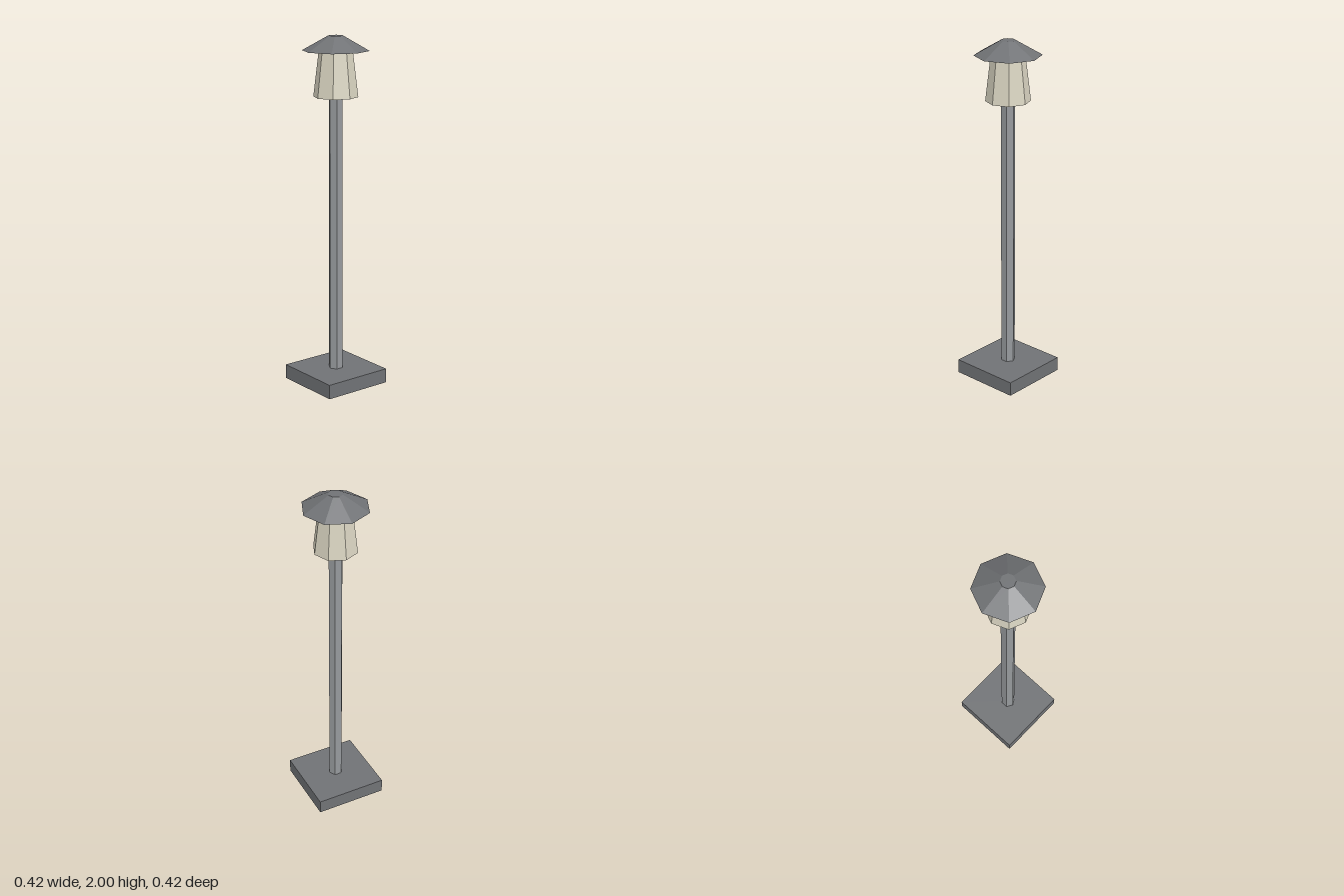
import * as THREE from 'three';

export function createModel() {
  const group = new THREE.Group();
  group.name = 'gardenLamp';

  const material = (name, color) => {
    const m = new THREE.MeshStandardMaterial({ color, flatShading: true });
    m.name = name;
    return m;
  };
  const darkMetal = material('darkMetal', 0x707275);
  const poleMetal = material('poleMetal', 0x96999c);
  const lampGlass = material('lampGlass', 0xd9d4c1);

  // Adds a part standing between two heights
  const add = (name, geometry, mat, y0, y1) => {
    const mesh = new THREE.Mesh(geometry, mat);
    mesh.name = name;
    mesh.position.y = (y0 + y1) / 2;
    group.add(mesh);
  };
  // Tapered prism with one corner on the +x axis
  const prism = (name, mat, top, bottom, y0, y1, sides) =>
    add(name, new THREE.CylinderGeometry(top, bottom, y1 - y0, sides, 1, false, Math.PI / 2), mat, y0, y1);

  // Square foot
  add('base', new THREE.BoxGeometry(0.416, 0.083, 0.416), darkMetal, 0, 0.083);
  // Hexagonal post, set into the foot and the lantern
  prism('pole', poleMetal, 0.041, 0.041, 0.01, 1.7, 6);
  // Eight-sided lantern, wider at the bottom
  prism('lantern', lampGlass, 0.094, 0.125, 1.664, 1.918, 8);
  // Low eight-sided roof with a small flat top
  prism('roof', darkMetal, 0.041, 0.187, 1.918, 2, 8);

  return group;
}
